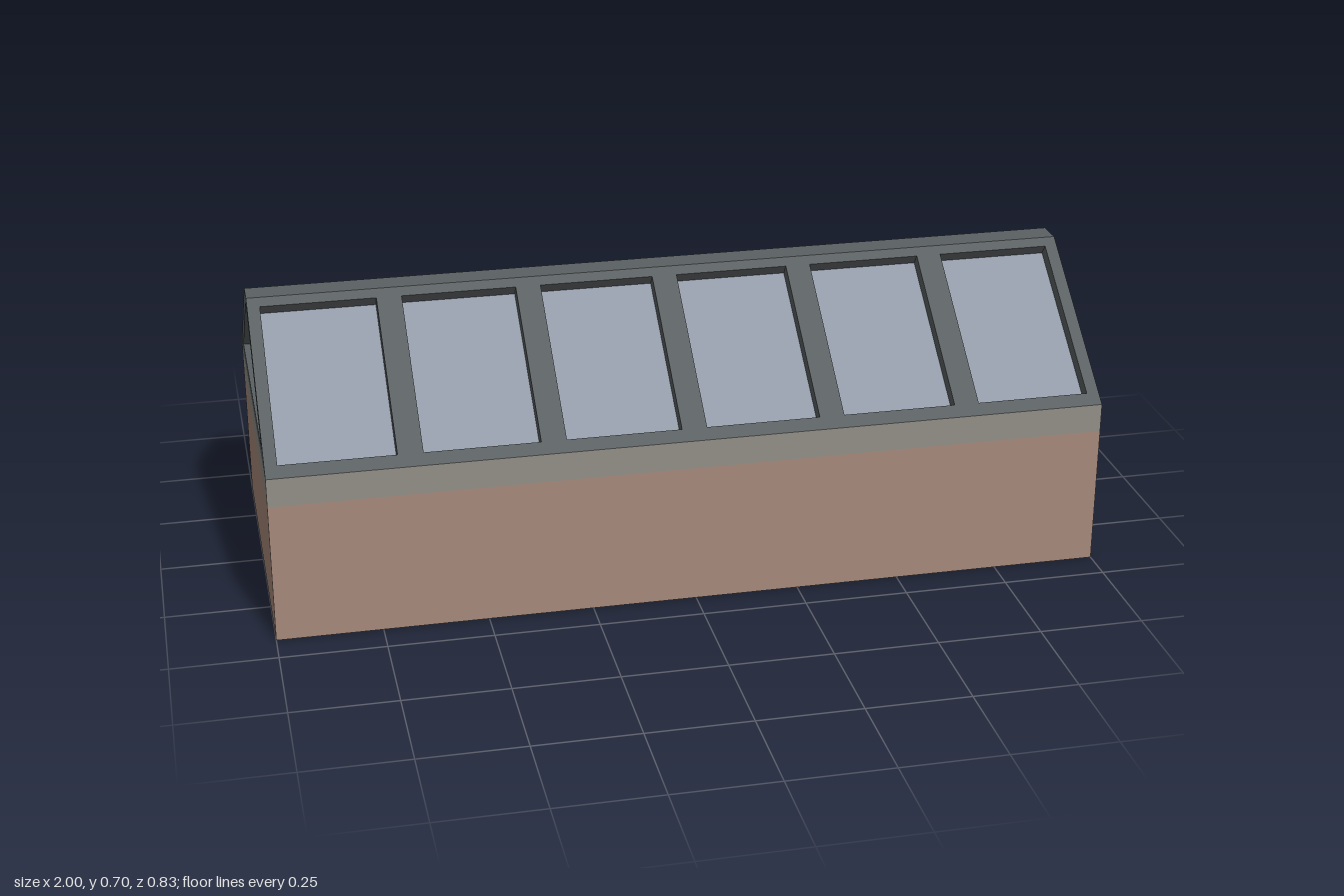
import * as THREE from 'three';

const W = 1, D = 0.417, BRICK = 0.343, EAVE = 0.413, RIDGE = 0.705, RIDGE_Z = 0.033;
const T = 0.033;                       // frame thickness
const BAYS = 6, BAR = 0.06;

const mat = (name, color, side = THREE.FrontSide) => {
  const m = new THREE.MeshStandardMaterial({ color, side });
  m.name = name;
  return m;
};

function polygon(points, Type = THREE.Shape) {
  return new Type(points.map(([x, y]) => new THREE.Vector2(x, y)));
}

function rect(x0, y0, x1, y1, Type) {
  return polygon([[x0, y0], [x1, y0], [x1, y1], [x0, y1]], Type);
}

function mesh(name, geometry, material) {
  const m = new THREE.Mesh(geometry, material);
  m.name = name;
  return m;
}

const extrude = (shape, depth) => new THREE.ExtrudeGeometry(shape, { depth, bevelEnabled: false });

export function createModel() {
  const model = new THREE.Group();
  model.name = 'gabledSkylight';
  const brick = mat('brick', 0xa68a7b, THREE.DoubleSide);
  const stone = mat('stone', 0x928f88, THREE.DoubleSide);
  const metal = mat('darkMetal', 0x5b6062);
  const glass = mat('glass', 0x9299a7, THREE.DoubleSide);

  // Thin walls, open at the bottom, with a coping band on top
  const walls = [['front', 0, D, 2 * W], ['back', Math.PI, D, 2 * W],
    ['left', Math.PI / 2, W, 2 * D], ['right', -Math.PI / 2, W, 2 * D]];
  for (const [side, turn, distance, width] of walls) {
    for (const [part, y0, y1, material] of [['Wall', 0, BRICK, brick], ['Coping', BRICK, EAVE, stone]]) {
      const g = new THREE.PlaneGeometry(width, y1 - y0);
      g.translate(0, (y0 + y1) / 2, distance).rotateY(turn);
      model.add(mesh(side + part, g, material));
    }
  }

  // Glazed slopes: a slab with six openings and recessed panes
  const rise = RIDGE - EAVE, run = D - RIDGE_Z;
  const length = Math.hypot(rise, run), pitch = Math.atan2(rise, run);
  const s0 = 0.034, s1 = length - 0.026;
  const paneWidth = (2 * W - BAYS * BAR) / BAYS;
  for (const [side, turn] of [['front', 0], ['back', Math.PI]]) {
    const slope = new THREE.Group();
    slope.name = side + 'Slope';
    slope.position.set(0, EAVE, D);
    slope.rotation.x = pitch - Math.PI / 2;
    const frame = rect(-W + 0.015, 0, W - 0.015, length);
    for (let i = 0; i < BAYS; i++) {
      const x = -W + BAR / 2 + i * (paneWidth + BAR);
      frame.holes.push(rect(x, s0, x + paneWidth, s1, THREE.Path));
      const pane = new THREE.PlaneGeometry(paneWidth, s1 - s0);
      pane.translate(x + paneWidth / 2, (s0 + s1) / 2, -T + 0.002);
      slope.add(mesh('roofPane', pane, glass));
    }
    slope.add(mesh('roofFrame', extrude(frame, T).translate(0, 0, -T), metal));
    const half = new THREE.Group();
    half.name = side + 'Roof';
    half.rotation.y = turn;
    half.add(slope);
    model.add(half);
  }

  // Flat ridge bar
  const ridge = polygon([[-0.023, RIDGE - T], [0.023, RIDGE - T], [RIDGE_Z, RIDGE], [-RIDGE_Z, RIDGE]]);
  model.add(mesh('ridgeBar', extrude(ridge, 1.97).translate(0, 0, -0.985).rotateY(Math.PI / 2), metal));

  // Gable ends: trapezoid frames with recessed glass
  const opening = [[-0.322, 0.444], [0.322, 0.444], [0.034, 0.663], [0.022, 0.672],
    [-0.022, 0.672], [-0.034, 0.663]];
  for (const [side, turn] of [['left', Math.PI / 2], ['right', -Math.PI / 2]]) {
    const gable = new THREE.Group();
    gable.name = side + 'Gable';
    gable.rotation.y = turn;
    const frame = polygon([[-D, EAVE], [D, EAVE], [RIDGE_Z, RIDGE], [-RIDGE_Z, RIDGE]]);
    frame.holes.push(polygon(opening, THREE.Path));
    gable.add(mesh('gableFrame', extrude(frame, 0.03).translate(0, 0, W - 0.03), metal));
    const pane = new THREE.ShapeGeometry(polygon(opening)).translate(0, 0, W - 0.028);
    gable.add(mesh('gablePane', pane, glass));
    model.add(gable);
  }
  return model;
}
